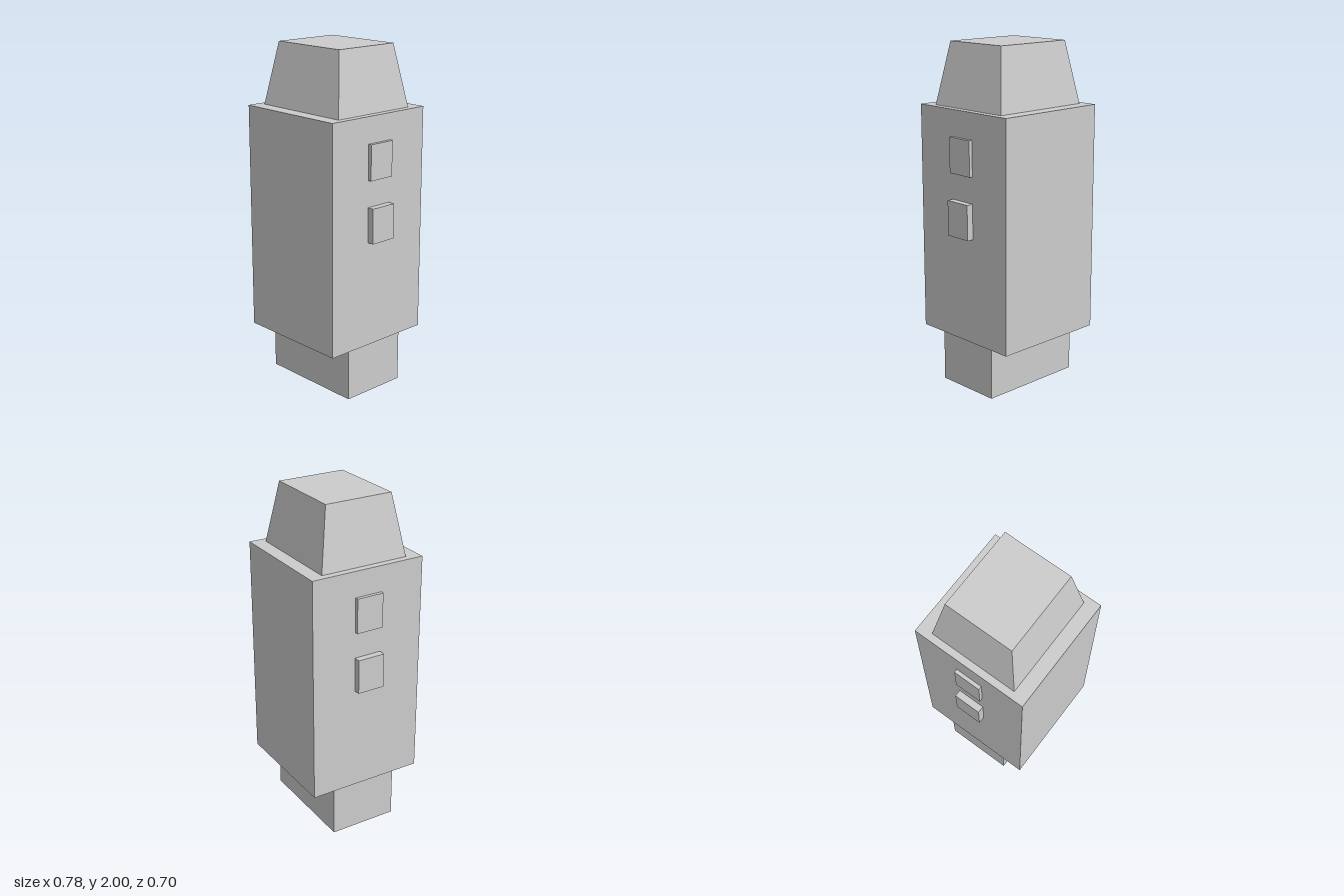
import * as THREE from 'three';

const material = new THREE.MeshStandardMaterial({ color: 0xcccccc, flatShading: true });

// Box spanning y0..y1, centred on the given x
function addBox(group, name, width, y0, y1, depth, x = 0) {
  const mesh = new THREE.Mesh(new THREE.BoxGeometry(width, y1 - y0, depth), material);
  mesh.name = name;
  mesh.position.set(x, (y0 + y1) / 2, 0);
  group.add(mesh);
  return mesh;
}

export function createModel() {
  const group = new THREE.Group();
  group.name = 'device';

  // Plug and main body
  addBox(group, 'base', 0.652, 0, 0.31, 0.408);
  addBox(group, 'body', 0.698, 0.31, 1.642, 0.698);

  // Cap: a box whose upper corners are drawn in equally on all sides
  const cap = addBox(group, 'taperedCap', 0.616, 1.642, 2, 0.534);
  const p = cap.geometry.attributes.position;
  const inset = 0.062;
  for (let i = 0; i < p.count; i++) {
    if (p.getY(i) > 0) {
      p.setX(i, p.getX(i) - Math.sign(p.getX(i)) * inset);
      p.setZ(i, p.getZ(i) - Math.sign(p.getZ(i)) * inset);
    }
  }
  cap.geometry.computeVertexNormals();

  // Two buttons on each side, the lower one standing out further
  for (const [side, s] of [['left', 1], ['right', -1]]) {
    addBox(group, side + 'UpperButton', 0.041, 1.286, 1.49, 0.164, s * 0.3495);
    addBox(group, side + 'LowerButton', 0.082, 0.928, 1.132, 0.164, s * 0.348);
  }
  return group;
}
